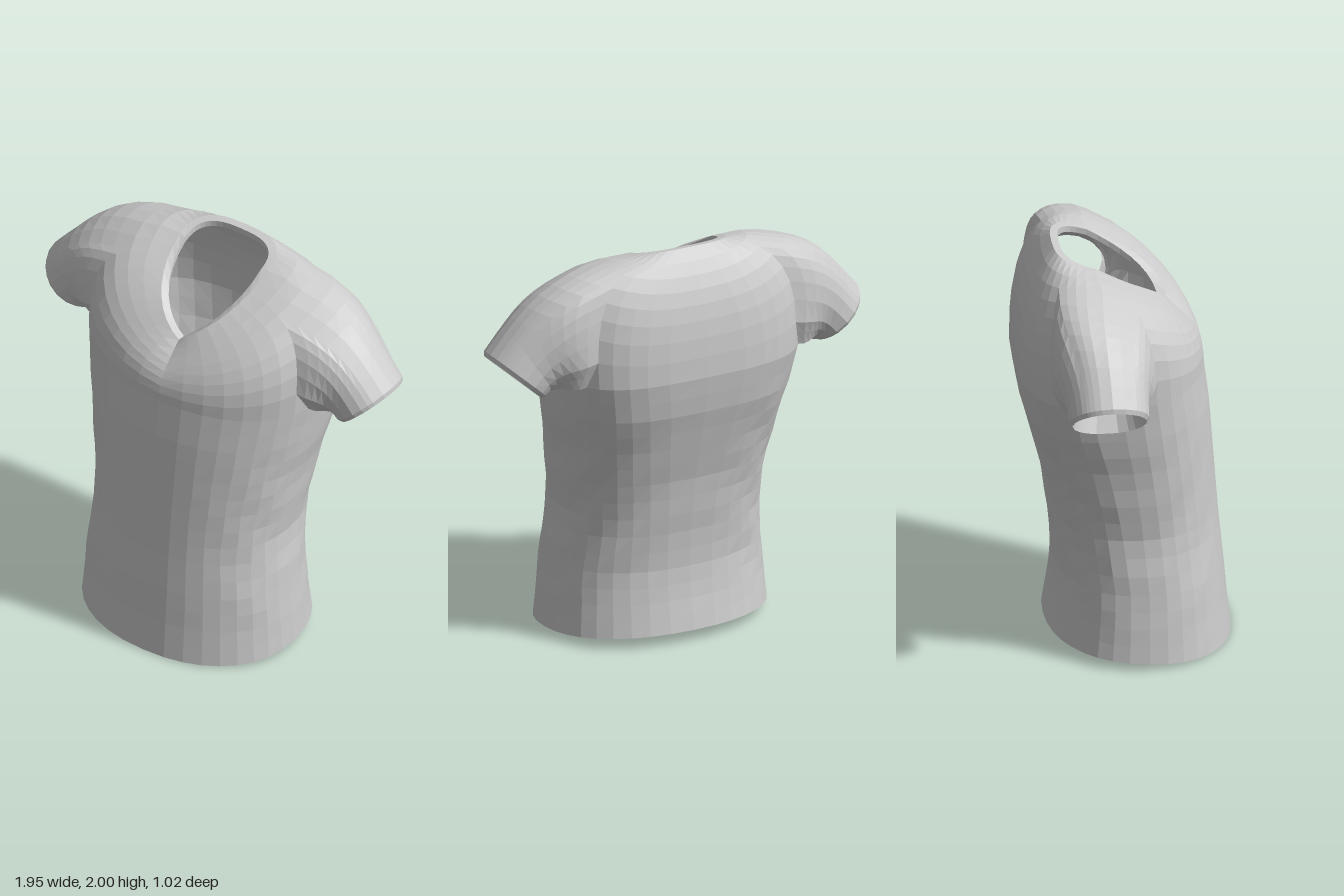
import * as THREE from 'three';

const COLS = 36, BODY_ROWS = 15, YOKE_ROWS = 8;
const V = (x, y, z) => new THREE.Vector3(x, y, z);
const spow = (v, e) => Math.sign(v) * Math.abs(v) ** e;
const bezier = (a, b, c, d, t) => new THREE.CubicBezierCurve3(a, b, c, d).getPoint(t);
const range = (n, fn) => Array.from({ length: n }, (_, i) => fn(i));

// Skin closed rings of points; skip(row, col) leaves out a quad
function loft(rings, skip = () => false) {
  const n = rings[0].length, pos = [], idx = [];
  rings.forEach(ring => ring.forEach(p => pos.push(p.x, p.y, p.z)));
  for (let r = 0; r < rings.length - 1; r++) {
    for (let i = 0; i < n; i++) {
      if (skip(r, i)) continue;
      const a = r * n + i, b = r * n + (i + 1) % n;
      idx.push(a, a + n, b, b, a + n, b + n);
    }
  }
  const geo = new THREE.BufferGeometry();
  geo.setAttribute('position', new THREE.Float32BufferAttribute(pos, 3));
  geo.setIndex(idx);
  const flat = geo.toNonIndexed();
  flat.computeVertexNormals();
  return flat;
}

// Scale a ring about a centre, then shift it
const inset = (ring, centre, s, shift) =>
  ring.map(p => p.clone().sub(centre).multiplyScalar(s).add(centre).add(shift));

// Torso profile: height, half width, front z, back z
const PROFILE = [
  [0, 0.565, 0.515, -0.37], [0.18, 0.55, 0.495, -0.345], [0.35, 0.54, 0.48, -0.325],
  [0.6, 0.51, 0.455, -0.345], [0.8, 0.525, 0.44, -0.375], [1.0, 0.555, 0.425, -0.42],
  [1.2, 0.59, 0.41, -0.48], [1.4, 0.62, 0.385, -0.51],
];

function bodyRing(y) {
  let k = 0;
  while (k < PROFILE.length - 2 && y > PROFILE[k + 1][0]) k++;
  const t = (y - PROFILE[k][0]) / (PROFILE[k + 1][0] - PROFILE[k][0]);
  const [w, zf, zb] = [1, 2, 3].map(j => THREE.MathUtils.lerp(PROFILE[k][j], PROFILE[k + 1][j], t));
  const tilt = 0.06 * Math.max(0, 1 - y / 0.35);
  return range(COLS, i => {
    const a = i * 2 * Math.PI / COLS, s = Math.sin(a);
    // rounded chest, squarer back towards the shoulder blades
    const e = 2 / (s > 0 ? 2.2 : 2.25 + 0.9 * (y / 1.4) ** 2);
    const z = (zf + zb) / 2 + (zf - zb) / 2 * spow(s, e);
    // gentle cloth creases that fade at hem and chest
    const crease = 1 + 0.008 * Math.sin(y * 19 + 5 * Math.cos(2 * a)) * Math.sin(Math.PI * y / 1.4);
    return V(w * spow(Math.cos(a), e) * crease, y + tilt * (zf - z) / (zf - zb), z * (z < 0 ? crease : 1));
  });
}

// Neck opening: V at the front, shallow curve at the back
function neckPoint(a) {
  const c = Math.cos(a), s = Math.sin(a);
  if (s > 0) {
    const drop = 1 - Math.abs(1 - 2 * a / Math.PI);
    return V(0.25 * c, 1.95 - 0.29 * drop, -0.15 + 0.37 * s);
  }
  return V(0.25 * spow(c, 0.7), 1.95 + 0.05 * Math.abs(s) ** 0.7, -0.15 - 0.18 * Math.abs(s) ** 0.7);
}

export function createModel() {
  const cloth = new THREE.MeshStandardMaterial({ color: 0xcccccc, side: THREE.DoubleSide, flatShading: true });
  cloth.name = 'grey cloth';
  const shirt = new THREE.Group();
  shirt.name = 'shirt';
  const add = (name, geo) => {
    const mesh = new THREE.Mesh(geo, cloth);
    mesh.name = name;
    shirt.add(mesh);
  };

  // Torso rings from hem to chest, then curved over the shoulders to the neck
  const rings = range(BODY_ROWS + 1, r => bodyRing(1.4 * r / BODY_ROWS));
  const chest = rings[BODY_ROWS];
  for (let r = 1; r <= YOKE_ROWS; r++) {
    rings.push(chest.map((p, i) => {
      const a = i * 2 * Math.PI / COLS, c = Math.cos(a), s = Math.sin(a), n = neckPoint(a);
      const c1 = p.clone().add(V(0.04 * c, (n.y - p.y) * (0.5 + 0.28 * c * c), 0));
      const c2 = n.clone().add(V(0.33 * c, 0.015 * c * c - (s > 0 ? 0.09 : 0.14) * s * s, (s > 0 ? 0.1 : 0.13) * s));
      return bezier(p, c1, c2, n, r / YOKE_ROWS);
    }));
  }

  // Armholes: a block of quads with cut lower corners left open on each side
  const low = BODY_ROWS, high = BODY_ROWS + 6, front = 2, back = -4;
  const inHole = (r, i) => {
    const cut = r === low ? 1 : 0;
    return r >= low && r < high && i >= back + cut && i < front - cut;
  };
  const at = (r, i) => rings[r][(i + COLS) % COLS];

  // Bevel the cut corners so each armhole edge runs diagonally there
  for (const [inner, outer] of [[front - 1, front], [back + 1, back]]) {
    for (const col of [i => i, i => COLS / 2 - i]) {
      at(low + 1, col(inner)).lerpVectors(at(low, col(inner)), at(low + 1, col(outer)), 0.5);
    }
  }
  add('torso', loft(rings, (r, i) =>
    inHole(r, i) || inHole(r, i - COLS) || inHole(r, COLS / 2 - 1 - i)));

  // Armhole edge, clockwise from the lower front corner
  const hole = [at(low, front - 1), at(low + 1, front - 1)];
  for (let r = low + 1; r < high; r++) hole.push(at(r, front));
  for (let i = front; i > back; i--) hole.push(at(high, i));
  for (let r = high; r > low; r--) hole.push(at(r, back));
  hole.push(at(low + 1, back + 1));
  for (let i = back + 1; i < front - 1; i++) hole.push(at(low, i));

  // Sleeve grows from the armhole edge to a tilted oval cuff
  const cuffCentre = V(0.84, 1.455, -0.15), axis = V(0.64, -0.77, 0);
  const cuff = hole.map(p => {
    const a = Math.atan2((p.y - 1.66) / 0.26, (p.z + 0.14) / 0.24);
    return cuffCentre.clone().add(V(0.13 * Math.sin(a), 0.118 * Math.sin(a), 0.19 * Math.cos(a)));
  });
  const sleeve = range(8, k => hole.map((p, i) => {
    const d = 0.44 * p.distanceTo(cuff[i]);
    const c1 = p.clone().add(V(d, -0.22 * d, -0.12 * d));
    const c2 = cuff[i].clone().addScaledVector(axis, -d);
    return bezier(p, c1, c2, cuff[i], k / 7);
  }));
  const cuffRim = [cuff, inset(cuff, cuffCentre, 0.93, axis.clone().multiplyScalar(0.02)),
    inset(cuff, cuffCentre, 0.8, axis.clone().multiplyScalar(-0.08))];
  const mirror = list => list.map(ring => ring.map(p => V(-p.x, p.y, p.z)).reverse());
  add('leftSleeve', loft(sleeve));
  add('rightSleeve', loft(mirror(sleeve)));
  add('leftCuff', loft(cuffRim));
  add('rightCuff', loft(mirror(cuffRim)));

  // Collar band turned into the neck
  const neck = rings[rings.length - 1];
  const collar = neck.map(p => V(p.x * 0.87, p.y - 0.006, -0.08 + (p.z + 0.08) * 0.86));
  add('collar', loft([neck, collar, collar.map(p => V(p.x, p.y - 0.03, p.z))]));

  // Hem edge and the lining folded up inside it
  const hem = rings[0], hemCentre = V(0, 0.03, 0.07);
  add('hemLining', loft([inset(hem, hemCentre, 0.72, V(0, 0.18, 0)),
    inset(hem, hemCentre, 0.96, V(0, 0.006, 0)), hem]));

  return shirt;
}
